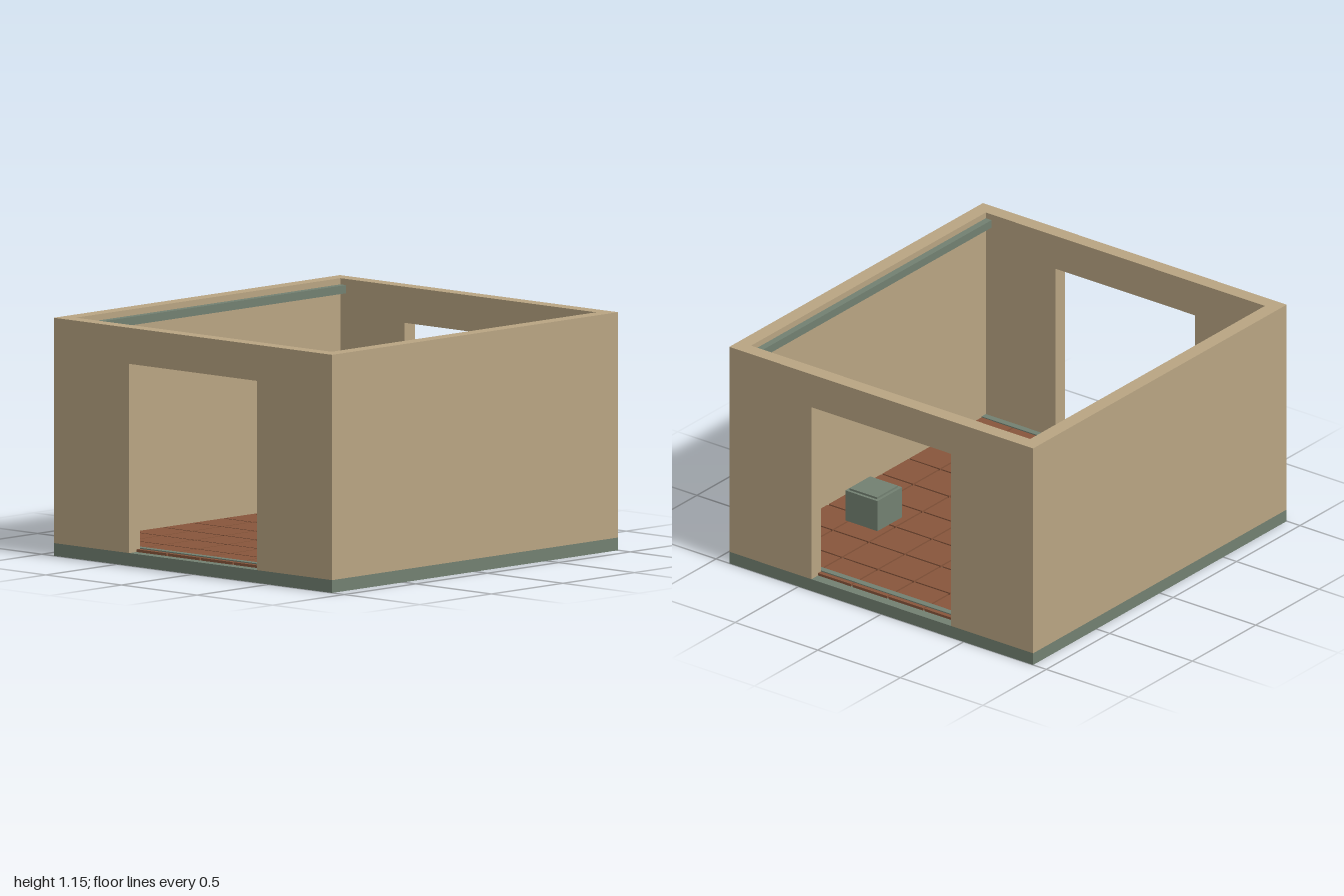
import * as THREE from 'three';

export function createModel() {
  const model = new THREE.Group();
  model.name = 'room';

  const mat = (name, color) => {
    const m = new THREE.MeshStandardMaterial({ color });
    m.name = name;
    return m;
  };
  const plaster = mat('tan plaster', 0xb8a482);
  const stone = mat('grey green', 0x728071);
  const clay = mat('terracotta', 0x87553b);

  // Axis-aligned box given by its extents on each axis
  const block = (name, material, [x0, x1], [y0, y1], [z0, z1], parent = model) => {
    const mesh = new THREE.Mesh(new THREE.BoxGeometry(x1 - x0, y1 - y0, z1 - z0), material);
    mesh.position.set((x0 + x1) / 2, (y0 + y1) / 2, (z0 + z1) / 2);
    mesh.name = name;
    parent.add(mesh);
    return mesh;
  };
  // Range on the positive or negative side of an axis
  const side = (s, a, b) => (s > 0 ? [a, b] : [-b, -a]);

  const W = 0.92, D = 1, H = 1.155;      // outer half width, half depth, height
  const inX = 0.845, inZ = 0.925;        // inner wall faces
  const door = 0.422, doorTop = 0.98;
  const baseTop = 0.062, floorTop = 0.075;

  block('foundation', stone, [-W, W], [0, baseTop], [-D, D]);

  for (const s of [1, -1]) {
    // Solid side walls with a rail near the top
    block('sideWall', plaster, side(s, inX, W), [baseTop, H], [-D, D]);
    block('wallRail', stone, side(s, 0.81, inX), [1.085, 1.125], [-inZ, inZ]);

    // Front and back walls, each with a wide doorway
    for (const t of [1, -1]) {
      block('doorWallPanel', plaster, side(t, door, inX), [baseTop, H], side(s, inZ, D));
    }
    block('lintel', plaster, [-door, door], [doorTop, H], side(s, inZ, D));
    block('thresholdStrip', stone, [-inX, inX], [floorTop, 0.08], side(s, 0.892, inZ));
  }

  // Floor tiles with open joints
  const floor = new THREE.Group();
  floor.name = 'tileFloor';
  model.add(floor);
  const cols = 8, rows = 9, px = 0.2185, pz = 0.2118, gap = 0.01;
  for (let i = 0; i < cols; i++) {
    for (let j = 0; j < rows; j++) {
      const x = (i - cols / 2) * px, z = (j - rows / 2) * pz;
      block('tile', clay, [x + gap / 2, x + px - gap / 2], [baseTop, floorTop],
        [z + gap / 2, z + pz - gap / 2], floor);
    }
  }

  // Small crate with a raised lid
  block('crate', stone, [0.477, 0.672], [floorTop, 0.235], [-0.408, -0.213]);
  block('crateLid', stone, [0.492, 0.657], [0.235, 0.245], [-0.393, -0.228]);

  return model;
}
